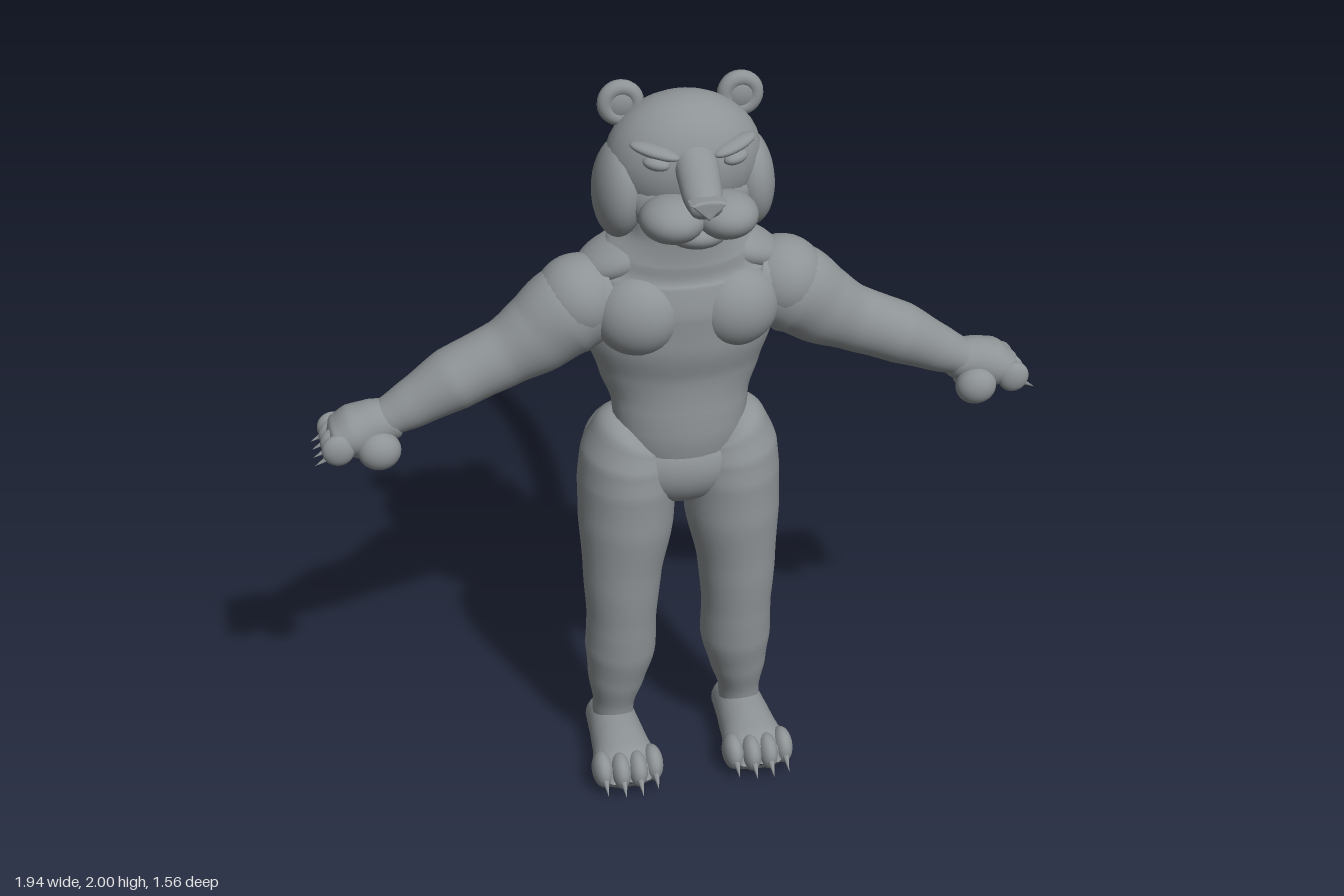
import * as THREE from 'three';

const fur = new THREE.MeshStandardMaterial({ color: 0x8e9396 });
fur.name = 'grey fur';

const V = (x, y, z) => new THREE.Vector3(x, y, z);

// Smooth skin through elliptical rings [x, y, z, ra, rb] set square to their path
function loft(rings, ref = V(0, 0, 1), steps = 6, sides = 28) {
  const path = new THREE.CatmullRomCurve3(rings.map(r => V(r[0], r[1], r[2])));
  const radii = new THREE.CatmullRomCurve3(rings.map(r => V(r[3], r[4], r[1] * 0.001)));
  const n = (rings.length - 1) * steps;
  const pos = [], idx = [];
  for (let i = 0; i <= n; i++) {
    const c = path.getPoint(i / n), t = path.getTangent(i / n);
    const k = Math.floor(i / steps), f = (i % steps) / steps, next = Math.min(k + 1, rings.length - 1);
    const s = f * f * (3 - 2 * f) * 0.4 + f * 0.6;
    const ra = rings[k][3] + (rings[next][3] - rings[k][3]) * s;
    const rb = rings[k][4] + (rings[next][4] - rings[k][4]) * s;
    const a = t.clone().cross(ref).normalize(), b = a.clone().cross(t);
    for (let j = 0; j < sides; j++) {
      const q = j / sides * Math.PI * 2;
      const p = c.clone().addScaledVector(a, ra * Math.cos(q)).addScaledVector(b, rb * Math.sin(q));
      pos.push(p.x, Math.max(0, p.y), p.z);
      if (i < n) {
        const u = i * sides + j, v = i * sides + (j + 1) % sides;
        idx.push(u, u + sides, v, u + sides, v + sides, v);
      }
    }
  }
  const g = new THREE.BufferGeometry();
  g.setAttribute('position', new THREE.Float32BufferAttribute(pos, 3));
  g.setIndex(idx);
  g.computeVertexNormals();
  return g;
}

export function createModel() {
  const model = new THREE.Group();
  model.name = 'standing big cat';

  const add = (name, geometry, parent = model) => {
    const m = new THREE.Mesh(geometry, fur);
    m.name = name;
    parent.add(m);
    return m;
  };
  const ball = (name, p, r, rot = [0, 0, 0], parent = model) => {
    const m = add(name, new THREE.SphereGeometry(1, 28, 18), parent);
    m.position.set(...p);
    m.scale.set(...r);
    m.rotation.set(...rot);
    return m;
  };
  // Curved claw as a cone between two points
  const claw = (name, from, to, r) => {
    const a = V(...from), b = V(...to), d = b.clone().sub(a);
    const m = add(name, new THREE.ConeGeometry(r, d.length(), 8));
    m.position.copy(a).addScaledVector(d, 0.5);
    m.quaternion.setFromUnitVectors(V(0, 1, 0), d.normalize());
  };

  // Torso and neck
  add('torso', loft([
    [0, 0.9, 0.48, 0.15, 0.11], [0, 1.03, 0.485, 0.177, 0.125], [0, 1.12, 0.48, 0.185, 0.125],
    [0, 1.2, 0.468, 0.215, 0.138], [0, 1.3, 0.465, 0.248, 0.16], [0, 1.4, 0.46, 0.262, 0.168],
    [0, 1.5, 0.46, 0.245, 0.152], [0, 1.56, 0.475, 0.2, 0.13], [0, 1.62, 0.49, 0.145, 0.11],
    [0, 1.72, 0.49, 0.135, 0.105]]));
  ball('pelvis', [0, 0.93, 0.48], [0.2, 0.13, 0.135]);

  // Head
  ball('skull', [0, 1.8, 0.5], [0.2, 0.17, 0.153]);
  ball('jaw', [0, 1.72, 0.54], [0.175, 0.105, 0.11]);
  ball('chin', [0, 1.66, 0.645], [0.08, 0.042, 0.075]);
  add('noseBridge', loft([[0, 1.87, 0.58, 0.03, 0.05], [0, 1.825, 0.64, 0.045, 0.055],
    [0, 1.775, 0.7, 0.04, 0.05], [0, 1.755, 0.745, 0.03, 0.04], [0, 1.75, 0.76, 0.001, 0.001]], V(1, 0, 0)));
  const noseShape = new THREE.Shape();
  noseShape.moveTo(0, -0.022);
  noseShape.lineTo(0.038, 0.012);
  noseShape.quadraticCurveTo(0, 0.022, -0.038, 0.012);
  noseShape.closePath();
  const nose = add('nose', new THREE.ExtrudeGeometry(noseShape, {
    depth: 0.03, bevelEnabled: true, bevelThickness: 0.008, bevelSize: 0.006, bevelSegments: 3 }));
  nose.position.set(0, 1.768, 0.738);

  // Tail in three overlapping sections
  const tail = [
    [[0, 0.93, 0.36, 0.062, 0.062], [0, 0.875, 0.25, 0.058, 0.058], [0, 0.81, 0.13, 0.05, 0.053], [0.003, 0.77, 0.06, 0.04, 0.042]],
    [[0.003, 0.785, 0.1, 0.035, 0.035], [0.006, 0.765, 0.05, 0.05, 0.05], [0.02, 0.715, -0.08, 0.051, 0.051],
      [0.045, 0.7, -0.22, 0.05, 0.05], [0.07, 0.725, -0.36, 0.045, 0.045], [0.08, 0.75, -0.42, 0.034, 0.034]],
    [[0.075, 0.735, -0.37, 0.032, 0.032], [0.082, 0.75, -0.42, 0.046, 0.046], [0.1, 0.83, -0.55, 0.046, 0.046],
      [0.11, 0.95, -0.66, 0.044, 0.044], [0.105, 1.07, -0.72, 0.04, 0.04], [0.095, 1.15, -0.744, 0.037, 0.037]]];
  tail.forEach((r, i) => add('tailSection' + (i + 1), loft(r, V(1, 0, 0), 6, 20)));
  ball('tailTip', [0.095, 1.15, -0.744], [0.037, 0.037, 0.037]);

  for (const s of [1, -1]) {
    const side = s > 0 ? 'left' : 'right';
    const mir = rings => rings.map(([x, ...rest]) => [x * s, ...rest]);

    // Face details
    ball(side + 'Cheek', [0.165 * s, 1.73, 0.5], [0.068, 0.13, 0.108], [0, 0, 0.08 * s]);
    ball(side + 'MuzzlePad', [0.067 * s, 1.705, 0.665], [0.083, 0.058, 0.088]);
    ball(side + 'Eye', [0.1 * s, 1.84, 0.632], [0.034, 0.017, 0.022], [0, 0.4 * s, 0.15 * s]);
    ball(side + 'Brow', [0.1 * s, 1.866, 0.616], [0.065, 0.016, 0.028], [0, 0.45 * s, 0.22 * s]);

    // Ear: rounded back with a raised rim
    const ear = new THREE.Group();
    ear.name = side + 'Ear';
    ear.position.set(0.153 * s, 1.94, 0.465);
    model.add(ear);
    add('earRim', new THREE.TorusGeometry(0.039, 0.021, 14, 28), ear);
    ball('earBack', [0, 0, -0.012], [0.055, 0.055, 0.034], [0, 0, 0], ear);

    // Chest and back muscles
    ball(side + 'Pectoral', [0.13 * s, 1.395, 0.555], [0.115, 0.11, 0.09], [0, 0.2 * s, 0]);
    ball(side + 'ShoulderBlade', [0.12 * s, 1.43, 0.365], [0.11, 0.13, 0.08]);
    ball(side + 'Trapezius', [0.15 * s, 1.53, 0.46], [0.13, 0.055, 0.1], [0, 0, -0.35 * s]);
    ball(side + 'Shoulder', [0.27 * s, 1.425, 0.485], [0.115, 0.115, 0.115], [0, 0, -0.5 * s]);

    // Arm from shoulder to wrist
    add(side + 'Arm', loft(mir([
      [0.18, 1.43, 0.485, 0.1, 0.1], [0.3, 1.392, 0.487, 0.122, 0.112], [0.38, 1.335, 0.487, 0.108, 0.098],
      [0.46, 1.29, 0.487, 0.09, 0.083], [0.54, 1.255, 0.487, 0.085, 0.084], [0.6, 1.228, 0.487, 0.083, 0.088],
      [0.7, 1.175, 0.49, 0.066, 0.066], [0.77, 1.14, 0.49, 0.052, 0.056], [0.82, 1.115, 0.49, 0.04, 0.04]])));

    // Hand with thumb, fingers and claws
    add(side + 'Hand', loft(mir([
      [0.73, 1.14, 0.49, 0.02, 0.02], [0.755, 1.135, 0.49, 0.052, 0.055], [0.81, 1.122, 0.488, 0.066, 0.066],
      [0.865, 1.11, 0.488, 0.066, 0.077], [0.91, 1.098, 0.488, 0.046, 0.074], [0.94, 1.09, 0.488, 0.002, 0.02]])));
    ball(side + 'Thumb', [0.805 * s, 1.075, 0.548], [0.056, 0.052, 0.045]);
    ball(side + 'Palm', [0.83 * s, 1.07, 0.48], [0.065, 0.045, 0.06]);
    for (let i = 0; i < 4; i++) {
      const z = 0.425 + i * 0.042;
      ball(side + 'Finger', [0.91 * s, 1.09, z], [0.042, 0.043, 0.025], [0, 0, -0.35 * s]);
      claw(side + 'FingerClaw', [0.93 * s, 1.075, z], [0.972 * s, 1.052, z], 0.01);
    }

    // Hip and leg
    ball(side + 'Buttock', [0.12 * s, 0.93, 0.412], [0.13, 0.13, 0.127]);
    add(side + 'Leg', loft(mir([
      [0.11, 1.045, 0.485, 0.06, 0.07], [0.128, 1.015, 0.482, 0.105, 0.115], [0.14, 0.95, 0.477, 0.127, 0.14],
      [0.143, 0.87, 0.477, 0.133, 0.148], [0.148, 0.75, 0.487, 0.129, 0.138], [0.16, 0.6, 0.498, 0.108, 0.113],
      [0.163, 0.45, 0.498, 0.096, 0.1], [0.165, 0.34, 0.488, 0.098, 0.1], [0.175, 0.24, 0.48, 0.08, 0.085],
      [0.182, 0.15, 0.475, 0.058, 0.065], [0.185, 0.06, 0.47, 0.055, 0.06]])));

    // Foot with toes and claws
    add(side + 'Foot', loft(mir([
      [0.185, 0.06, 0.362, 0.002, 0.002], [0.185, 0.06, 0.375, 0.042, 0.042], [0.185, 0.06, 0.41, 0.062, 0.065],
      [0.185, 0.065, 0.48, 0.075, 0.07], [0.185, 0.06, 0.57, 0.072, 0.078], [0.185, 0.055, 0.65, 0.062, 0.09],
      [0.185, 0.045, 0.7, 0.045, 0.088], [0.185, 0.04, 0.725, 0.002, 0.05]]), V(1, 0, 0)));
    for (let i = 0; i < 4; i++) {
      const x = (0.115 + i * 0.047) * s, z = i === 0 || i === 3 ? 0.675 : 0.692;
      ball(side + 'Toe', [x, 0.062, z], [0.029, 0.05, 0.052]);
      claw(side + 'ToeClaw', [x, 0.058, z + 0.04], [x, 0.03, z + 0.085], 0.011);
    }
  }
  return model;
}
